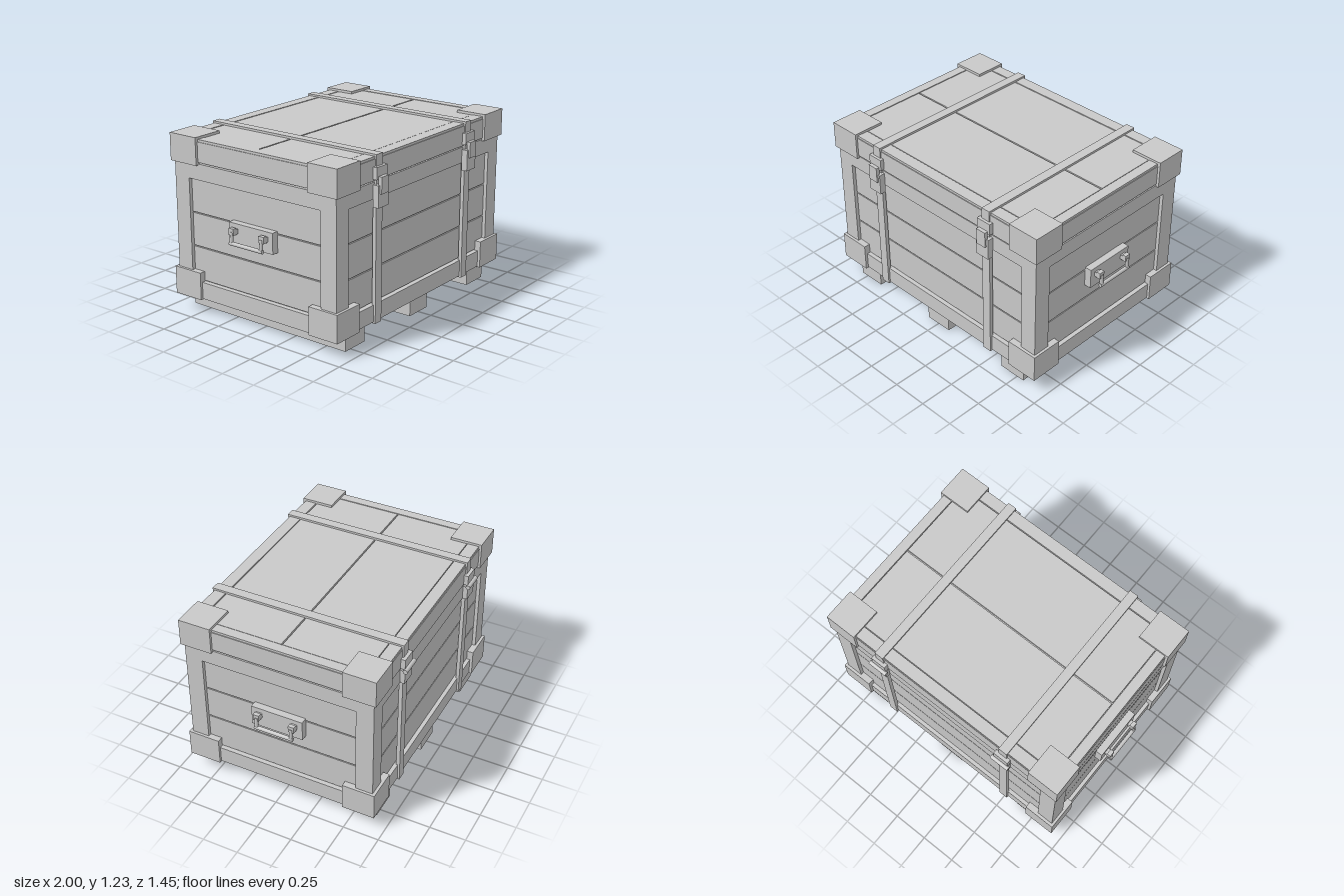
import * as THREE from 'three';

const metalGrey = new THREE.MeshStandardMaterial({ color: 0xc8c8c8 });
metalGrey.name = 'plain grey';

function add(group, name, geometry) {
  const mesh = new THREE.Mesh(geometry, metalGrey);
  mesh.name = name;
  group.add(mesh);
  return mesh;
}

// Box given by its limits on each axis
function block(group, name, [x0, x1], [y0, y1], [z0, z1]) {
  const mesh = add(group, name, new THREE.BoxGeometry(Math.abs(x1 - x0), y1 - y0, Math.abs(z1 - z0)));
  mesh.position.set((x0 + x1) / 2, (y0 + y1) / 2, (z0 + z1) / 2);
  return mesh;
}

function part(parent, name) {
  const group = new THREE.Group();
  group.name = name;
  parent.add(group);
  return group;
}

const SIDES = [-1, 1];
const X = 0.92, Z = 0.667;      // outer half sizes of the crate
const PX = 0.895, PZ = 0.642;   // half sizes of the recessed planks

export function createModel() {
  const root = new THREE.Group();
  root.name = 'crate';

  // Core seen in the plank gaps, the lid gap and the underside
  const body = part(root, 'body');
  block(body, 'core', [-0.885, 0.885], [0.13, 1.19], [-0.632, 0.632]);

  // Recessed planks on all four sides
  for (let i = 0; i < 3; i++) {
    const y = 0.239 + i * 0.234;
    block(body, 'plank', [-PX, PX], [y, y + 0.226], [-PZ, PZ]);
  }

  // Frame: corner posts, top rail, bottom rails
  block(body, 'topRail', [-X, X], [0.94, 1.05], [-Z, Z]);
  for (const s of SIDES) {
    block(body, 'bottomRail', [-X, X], [0.115, 0.232], [s * 0.545, s * Z]);
    block(body, 'bottomEndRail', [s * 0.8, s * X], [0.115, 0.232], [-0.545, 0.545]);
    for (const t of SIDES) {
      block(body, 'cornerPost', [s * 0.8, s * X], [0.23, 0.942], [t * 0.545, t * Z]);
    }
  }

  // Skids under the crate
  for (const x of [-0.705, 0, 0.705]) {
    block(root, 'skid', [x - 0.1, x + 0.1], [0, 0.132], [-0.647, 0.647]);
  }

  // Lid: rim, slightly inset top frame, and two top boards
  const lid = part(root, 'lid');
  block(lid, 'lidRim', [-X, X], [1.06, 1.196], [-Z - 0.005, Z + 0.005]);
  for (const s of SIDES) {
    block(lid, 'lidEndBatten', [s * 0.848, s * 0.915], [1.19, 1.212], [-Z, Z]);
    block(lid, 'lidLongBatten', [-0.843, 0.843], [1.19, 1.212], [s * 0.585, s * Z]);
    block(lid, 'lidBoard', [-0.843, 0.843], [1.19, 1.21], [s * 0.005, s * 0.579]);
  }

  // Corner caps: three plates each, on the lid and at the base
  const BX = 0.938, BZ = 0.687;
  for (const s of SIDES) for (const t of SIDES) {
    for (const [name, y0, y1, c0, c1] of [
      ['lidCorner', 1.04, 1.228, 1.2, 1.228],
      ['baseCorner', 0.11, 0.302, 0.11, 0.13],
    ]) {
      const corner = part(root, name);
      block(corner, 'sidePlate', [s * 0.89, s * BX], [y0, y1], [t * 0.46, t * BZ]);
      block(corner, 'facePlate', [s * 0.71, s * BX], [y0, y1], [t * 0.638, t * BZ]);
      block(corner, 'capPlate', [s * 0.71, s * BX], [c0, c1], [t * 0.46, t * BZ]);
    }
  }

  for (const s of SIDES) {
    const x = s * 0.505;
    const wide = (w) => [x - w / 2, x + w / 2];

    // Strap over the lid and down the front and back
    const strap = part(root, 'strap');
    block(strap, 'strapTop', wide(0.065), [1.2, 1.225], [-0.681, 0.681]);
    for (const t of SIDES) {
      block(strap, 'strapUpright', wide(0.065), [0.105, 1.225], [t * 0.655, t * 0.681]);
    }

    // Front latch: keeper on the lid, base on the body, hasp over both
    const latch = part(root, 'latch');
    block(latch, 'keeper', wide(0.11), [1.07, 1.15], [0.67, 0.7]);
    block(latch, 'latchBase', wide(0.105), [0.89, 1.035], [0.67, 0.713]);
    block(latch, 'hasp', wide(0.075), [0.98, 1.09], [0.7, 0.725]);

    // Back hinge: two leaves and a pin
    const hinge = part(root, 'hinge');
    block(hinge, 'upperLeaf', wide(0.11), [1.062, 1.135], [-0.703, -0.67]);
    block(hinge, 'lowerLeaf', wide(0.11), [0.95, 1.048], [-0.703, -0.67]);
    const pin = add(hinge, 'hingePin', new THREE.CylinderGeometry(0.016, 0.016, 0.138, 16));
    pin.rotation.z = Math.PI / 2;
    pin.position.set(x, 1.055, -0.709);

    // Side handle: back plate, two lugs and a hanging bail
    const handle = part(root, 'handle');
    block(handle, 'handlePlate', [s * 0.885, s * 0.943], [0.58, 0.722], [-0.183, 0.183]);
    for (const t of SIDES) {
      block(handle, 'lug', [s * 0.94, s * 0.97], [0.658, 0.69], [t * 0.105, t * 0.147]);
      block(handle, 'lugEye', [s * 0.96, s * 0.988], [0.655, 0.7], [t * 0.105, t * 0.147]);
      const arm = add(handle, 'bailArm', new THREE.CylinderGeometry(0.0125, 0.0125, 0.08, 12));
      arm.position.set(s * 0.984, 0.637, t * 0.124);
      arm.rotation.z = s * 0.08;
    }
    const grip = add(handle, 'grip', new THREE.CylinderGeometry(0.0135, 0.0135, 0.276, 12));
    grip.rotation.x = Math.PI / 2;
    grip.position.set(s * 0.9865, 0.6, 0);
  }

  return root;
}
